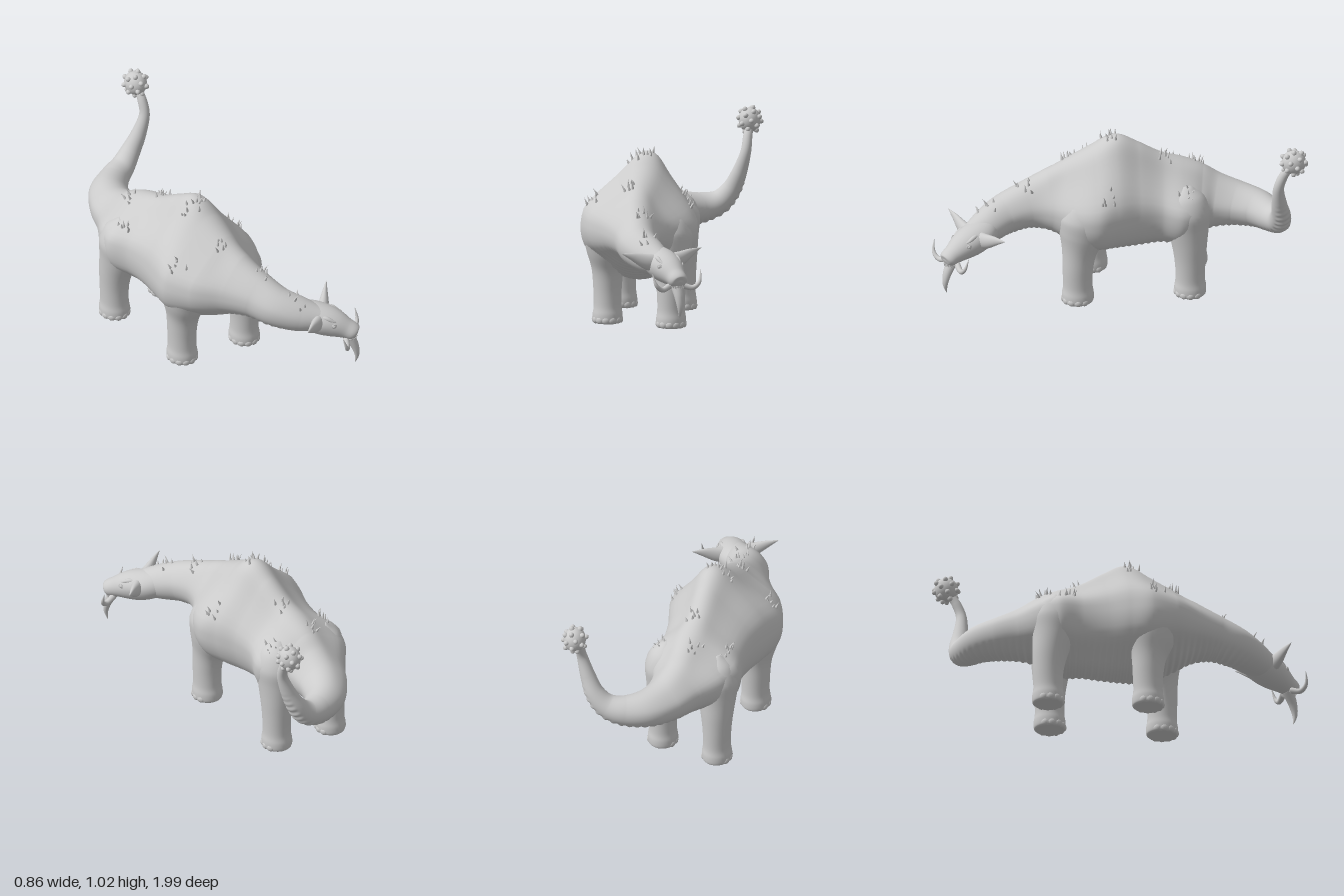
import * as THREE from 'three';

const V = (x, y, z) => new THREE.Vector3(x, y, z);
const smooth = THREE.MathUtils.smoothstep;
const skin = new THREE.MeshStandardMaterial({ color: 0xcccccc, roughness: 0.8 });

function add(parent, name, geometry, position) {
  const mesh = new THREE.Mesh(geometry, skin);
  mesh.name = name;
  if (position) mesh.position.copy(position);
  parent.add(mesh);
  return mesh;
}

// Lofts oval rings through stations [x, y, z, half width, height above, height below].
// peak narrows wide rings into a ridge above and a keel below; ribs folds the underside.
function loft(stations, { up = V(0, 1, 0), rings = 40, sides = 24, ribs = 0, peak = 0 } = {}) {
  const path = new THREE.CatmullRomCurve3(stations.map(s => V(s[0], s[1], s[2])), false, 'catmullrom');
  const size = new THREE.CatmullRomCurve3(
    stations.map(([, , , w, top = w, low = top]) => V(w, top, low)), false, 'catmullrom');
  const pos = [], index = [];
  const lift = up.clone();
  let length = 0, last = path.getPoint(0);
  for (let i = 0; i <= rings; i++) {
    const t = i / rings, c = path.getPoint(t), r = size.getPoint(t), tan = path.getTangent(t);
    length += c.distanceTo(last);
    last = c;
    lift.addScaledVector(tan, -lift.dot(tan)).normalize();
    const side = lift.clone().cross(tan);
    const fold = ribs * Math.sin(length * 180) * smooth(t, 0.05, 0.12) * (1 - smooth(t, 0.78, 0.88));
    const ridge = peak * smooth(r.x, 0.06, 0.24);
    for (let j = 0; j < sides; j++) {
      const a = j / sides * Math.PI * 2, s = Math.sin(a);
      const k = 1 + fold * smooth(-s, 0.5, 0.9) / Math.max(r.z, 0.05);
      const narrow = 1 - ridge * (smooth(s, 0.2, 0.9) + 0.5 * smooth(-s, 0.45, 0.9));
      const u = Math.cos(a) * r.x * k * narrow;
      const p = c.clone().addScaledVector(side, u).addScaledVector(lift, s * (s > 0 ? r.y : r.z) * k);
      pos.push(p.x, p.y, p.z);
    }
  }
  for (let i = 0; i < rings; i++) for (let j = 0; j < sides; j++) {
    const a = i * sides + j, b = i * sides + (j + 1) % sides;
    index.push(a, b, a + sides, b, b + sides, a + sides);
  }
  // end caps
  for (const [row, flip] of [[0, true], [rings, false]]) for (let j = 1; j < sides - 1; j++) {
    const a = row * sides, b = a + j, c = a + j + 1;
    index.push(a, flip ? c : b, flip ? b : c);
  }
  const g = new THREE.BufferGeometry();
  g.setAttribute('position', new THREE.Float32BufferAttribute(pos, 3));
  g.setIndex(index);
  g.computeVertexNormals();
  return g;
}

// Neck, humped torso and tail as one skin
function buildBody(group) {
  return add(group, 'body', loft([
    [0.1, 0.44, 0.81, 0.055],
    [0.025, 0.455, 0.71, 0.092, 0.092],
    [-0.05, 0.487, 0.6, 0.108, 0.112],
    [-0.085, 0.51, 0.48, 0.125, 0.145, 0.12],
    [-0.105, 0.515, 0.37, 0.175, 0.2, 0.145],
    [-0.115, 0.513, 0.25, 0.265, 0.268, 0.205],
    [-0.115, 0.51, 0.12, 0.315, 0.345, 0.265],
    [-0.115, 0.51, 0, 0.285, 0.408, 0.277],
    [-0.115, 0.508, -0.12, 0.245, 0.355, 0.275],
    [-0.115, 0.505, -0.24, 0.235, 0.285, 0.26],
    [-0.11, 0.5, -0.36, 0.268, 0.245, 0.25],
    [-0.105, 0.492, -0.46, 0.225, 0.208, 0.19],
    [-0.09, 0.485, -0.55, 0.16, 0.16, 0.145],
    [-0.055, 0.48, -0.66, 0.13, 0.12],
    [0.01, 0.477, -0.76, 0.108, 0.1],
    [0.11, 0.48, -0.825, 0.082],
    [0.2, 0.507, -0.85, 0.066],
    [0.265, 0.575, -0.855, 0.053],
    [0.31, 0.67, -0.842, 0.041],
    [0.345, 0.78, -0.835, 0.029],
    [0.353, 0.86, -0.86, 0.025],
    [0.356, 0.92, -0.9, 0.02],
  ], { rings: 420, sides: 56, ribs: 0.0035, peak: 0.42 }));
}

// Pillar leg swelling into the flank, with a ring of toenails round the foot
function buildLeg(group, name, foot, hip, thigh) {
  const leg = new THREE.Group();
  leg.name = name;
  group.add(leg);
  const rows = [[0.003, 0.07], [0.015, 0.079], [0.05, 0.08], [0.1, 0.074], [0.2, 0.077],
    [0.3, 0.088], [0.4, thigh * 0.88], [0.5, thigh], [0.59, thigh * 0.75], [0.65, 0.02]];
  add(leg, name + 'Limb', loft(rows.map(([y, r]) => {
    const k = smooth(y, 0.2, 0.55);
    return [foot[0] + (hip[0] - foot[0]) * k, y, foot[1] + (hip[1] - foot[1]) * k, r, r * 1.07];
  }), { up: V(0, 0, 1), rings: 48, sides: 32 }));
  for (let i = 0; i < 9; i++) {
    const a = (i - 4) * 0.5;
    const nail = add(leg, 'toenail', new THREE.SphereGeometry(0.021, 12, 8),
      V(foot[0] + Math.sin(a) * 0.072, 0.022, foot[1] + Math.cos(a) * 0.078));
    nail.scale.set(1, 0.95, 0.6);
    nail.rotation.y = a;
  }
}

function buildHead(group) {
  const head = new THREE.Group();
  head.name = 'head';
  head.position.set(0.085, 0, 0.76);
  head.rotation.y = 0.59;
  group.add(head);
  add(head, 'skull', loft([
    [0, 0.46, -0.14, 0.03], [0, 0.457, -0.1, 0.065], [0, 0.445, -0.03, 0.09, 0.075, 0.085],
    [0, 0.43, 0.04, 0.09, 0.075, 0.09], [0, 0.41, 0.1, 0.077, 0.07, 0.078], [0, 0.385, 0.16, 0.057, 0.055],
    [0, 0.37, 0.2, 0.05, 0.045], [0, 0.362, 0.216, 0.036, 0.032], [0, 0.36, 0.221, 0.01, 0.008],
  ], { rings: 60, sides: 36, peak: 0.3 }));
  add(head, 'chinSpike', loft([[0, 0.35, 0.17, 0.034, 0.03], [0, 0.28, 0.205, 0.025, 0.022],
    [0, 0.22, 0.218, 0.015, 0.013], [0, 0.165, 0.208, 0.001]], { up: V(0, 0, 1), sides: 14 }));
  for (const s of [-1, 1]) {
    add(head, 'ear', loft([[s * 0.04, 0.44, 0.02, 0.036, 0.05], [s * 0.1, 0.455, 0.015, 0.028, 0.041],
      [s * 0.17, 0.482, 0.007, 0.014, 0.023], [s * 0.237, 0.503, 0, 0.001]]));
    add(head, 'tusk', loft([[s * 0.035, 0.34, 0.165, 0.017], [s * 0.09, 0.325, 0.185, 0.014],
      [s * 0.13, 0.355, 0.19, 0.01], [s * 0.145, 0.418, 0.175, 0.001]], { sides: 14 }));
    add(head, 'brow', loft([[s * 0.042, 0.445, 0.13, 0.003], [s * 0.054, 0.459, 0.1, 0.009],
      [s * 0.056, 0.475, 0.06, 0.012], [s * 0.05, 0.475, 0, 0.004]], { sides: 14 }));
    add(head, 'eye', new THREE.SphereGeometry(0.011, 16, 12), V(s * 0.067, 0.437, 0.108));
    const lid = add(head, 'eyelid', new THREE.TorusGeometry(0.011, 0.004, 8, 20), V(s * 0.069, 0.437, 0.11));
    lid.rotation.y = s * 1.1;
    const nostril = add(head, 'nostril', new THREE.TorusGeometry(0.006, 0.003, 8, 14), V(s * 0.026, 0.385, 0.211));
    nostril.rotation.y = s * 0.5;
  }
  // Fringe of small teeth round the muzzle
  for (let i = 0; i < 15; i++) {
    const a = (i - 7) * 0.2;
    const tooth = add(head, 'tooth', new THREE.ConeGeometry(0.005, 0.018, 6),
      V(Math.sin(a) * 0.044, 0.335, 0.165 + Math.cos(a) * 0.05));
    tooth.rotation.x = Math.PI;
  }
}

// Knobbed ball on the tail tip
function buildClub(group) {
  const club = new THREE.Group();
  club.name = 'tailClub';
  club.position.set(0.357, 0.945, -0.915);
  group.add(club);
  add(club, 'clubBall', new THREE.SphereGeometry(0.062, 32, 24)).scale.set(0.95, 1.08, 1.05);
  const count = 24;
  for (let i = 0; i < count; i++) {
    const y = 1 - (2 * i + 1) / count, r = Math.sqrt(1 - y * y), a = i * 2.39996;
    const dir = V(r * Math.cos(a), y, r * Math.sin(a));
    const knob = add(club, 'clubKnob', new THREE.SphereGeometry(0.014, 12, 8),
      dir.clone().multiply(V(0.058, 0.066, 0.064)));
    knob.quaternion.setFromUnitVectors(V(0, 1, 0), dir);
    knob.scale.y = 1.25;
  }
}

// Clusters of bent spikes planted on the back
function buildSpikes(group, body) {
  let seed = 7;
  const rand = () => (seed = (seed * 16807) % 2147483647) / 2147483647;
  const ray = new THREE.Raycaster();
  const clusters = [[-0.145, -0.45], [-0.075, -0.25], [-0.15, 0.03], [-0.07, 0], [-0.155, 0.24], [-0.045, 0.5],
    [0, 0.7], [-0.29, -0.33], [0.07, -0.35], [0.13, 0.07], [-0.36, 0.16]];
  for (const [x, z] of clusters) {
    const cluster = new THREE.Group();
    cluster.name = 'spikeCluster';
    group.add(cluster);
    for (let i = 0; i < 6; i++) {
      ray.set(V(x + (rand() - 0.5) * 0.07, 2, z + (rand() - 0.5) * 0.1), V(0, -1, 0));
      const hit = ray.intersectObject(body)[0];
      if (!hit) continue;
      const h = 0.024 + rand() * 0.025;
      const g = new THREE.ConeGeometry(0.0085, h, 8, 4).translate(0, h / 2 - 0.004, 0);
      const p = g.attributes.position;
      for (let k = 0; k < p.count; k++) p.setX(k, p.getX(k) + 6 * p.getY(k) ** 2);
      g.computeVertexNormals();
      const spike = add(cluster, 'spike', g, hit.point);
      const dir = hit.face.normal.clone().add(V((rand() - 0.5) * 0.5, 0.9, (rand() - 0.5) * 0.5)).normalize();
      spike.quaternion.setFromUnitVectors(V(0, 1, 0), dir);
      spike.rotateY(rand() * 6.28);
    }
  }
}

export function createModel() {
  const group = new THREE.Group();
  group.name = 'hornedBeast';
  const body = buildBody(group);
  buildHead(group);
  buildLeg(group, 'frontRightLeg', [-0.285, 0.105], [-0.275, 0.13], 0.135);
  buildLeg(group, 'frontLeftLeg', [0.07, 0.215], [0.045, 0.17], 0.135);
  buildLeg(group, 'hindRightLeg', [-0.27, -0.43], [-0.255, -0.385], 0.118);
  buildLeg(group, 'hindLeftLeg', [0.055, -0.39], [0.035, -0.375], 0.118);
  buildClub(group);
  buildSpikes(group, body);
  return group;
}
